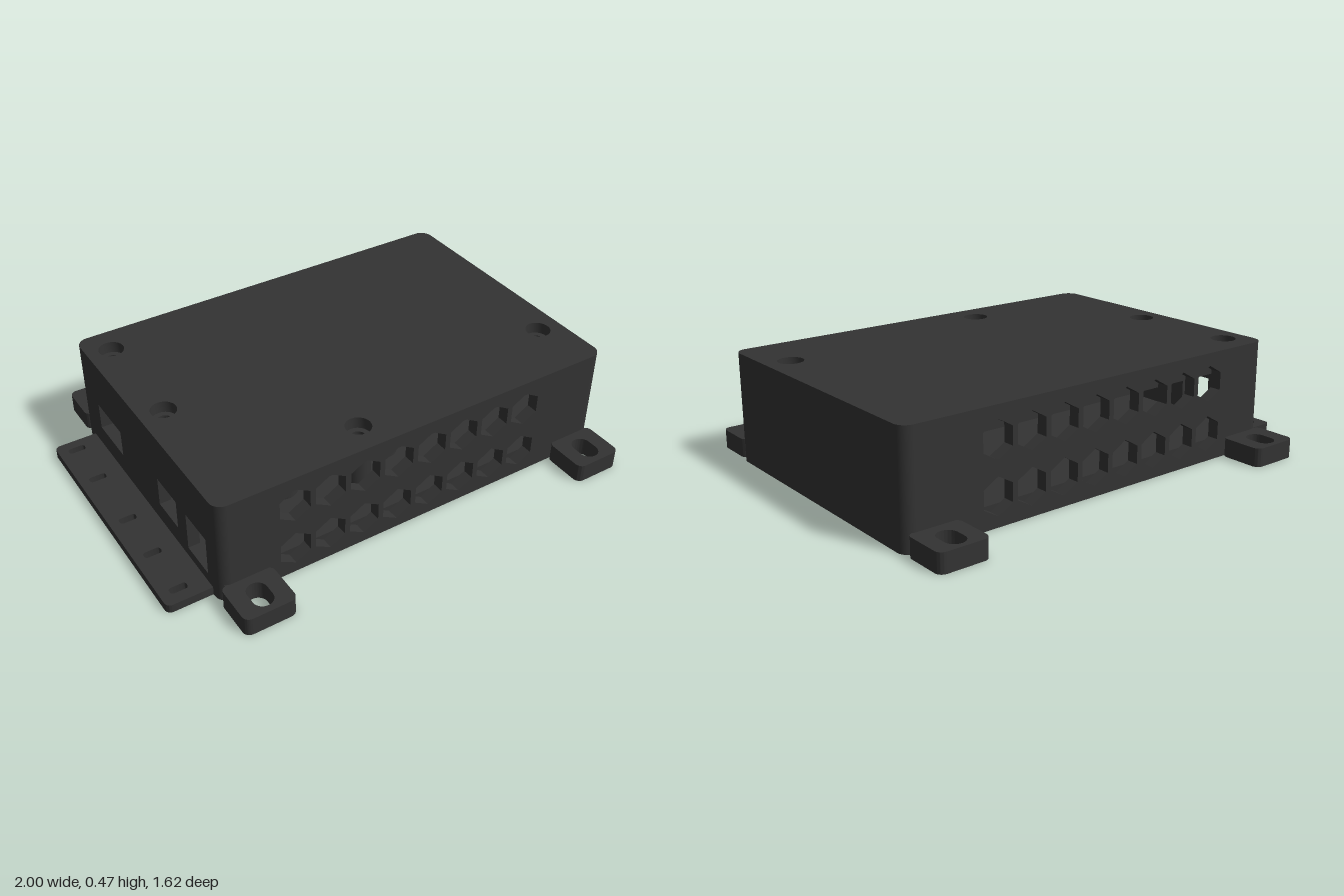
import * as THREE from 'three';
import { toCreasedNormals } from 'three/addons/utils/BufferGeometryUtils.js';

const X0 = -0.81, X1 = 1.0, Z0 = -0.62, Z1 = 0.615; // case outline
const H = 0.465, T = 0.05;                          // case height, wall and corner radius
const FLOOR = 0.07, CEILING = 0.355;

export function createModel() {
  const model = new THREE.Group();
  model.name = 'vented enclosure';
  const plastic = new THREE.MeshStandardMaterial({ color: 0x333333 });
  plastic.name = 'charcoal plastic';

  const add = (name, geometry, parent = model) => {
    const mesh = new THREE.Mesh(geometry, plastic);
    mesh.name = name;
    parent.add(mesh);
    return mesh;
  };
  const extrude = (shape, depth) => toCreasedNormals(
    new THREE.ExtrudeGeometry(shape, { depth, bevelEnabled: false, curveSegments: 12 }), 0.6);
  // Horizontal slab: the shape lies in x and z
  const slab = (shape, y0, y1) => extrude(shape, y1 - y0).rotateX(Math.PI / 2).translate(0, y1, 0);

  // Rectangle between two corners, with rounded corners if r > 0
  const rect = (x0, y0, x1, y1, r = 0, Type = THREE.Shape) => {
    const s = new Type();
    if (!r) {
      s.moveTo(x0, y0).lineTo(x1, y0).lineTo(x1, y1).lineTo(x0, y1).closePath();
      return s;
    }
    s.absarc(x1 - r, y0 + r, r, -Math.PI / 2, 0);
    s.absarc(x1 - r, y1 - r, r, 0, Math.PI / 2);
    s.absarc(x0 + r, y1 - r, r, Math.PI / 2, Math.PI);
    s.absarc(x0 + r, y0 + r, r, Math.PI, Math.PI * 1.5);
    s.closePath();
    return s;
  };
  const hole = (x0, y0, x1, y1, r) => rect(x0, y0, x1, y1, r, THREE.Path);
  const circle = (x, y, r, Type = THREE.Path) => {
    const s = new Type();
    s.absarc(x, y, r, 0, Math.PI * 2);
    return s;
  };
  const hexagon = (x, y, r) => new THREE.Path(Array.from({ length: 6 }, (_, i) => {
    const a = Math.PI / 6 + i * Math.PI / 3;
    return new THREE.Vector2(x + r * Math.cos(a), y + r * Math.sin(a));
  }));

  // Front and back walls with two rows of hexagonal vents
  const ventWall = rect(X0 + T, 0, X1 - T, H);
  for (const y of [0.335, 0.12])
    for (let i = 0; i < 8; i++) ventWall.holes.push(hexagon(-0.485 + i * 0.155, y, 0.076));
  add('frontWall', extrude(ventWall, T).translate(0, 0, Z1 - T));
  add('backWall', extrude(ventWall, T).translate(0, 0, Z0));

  // Plain side wall and the side wall with connector openings
  const plainWall = rect(Z0 + T, 0, Z1 - T, H);
  add('plainSideWall', extrude(plainWall, T).rotateY(-Math.PI / 2).translate(X1, 0, 0));
  const portWall = rect(Z0 + T, 0, Z1 - T, H);
  portWall.holes.push(
    hole(-0.44, 0.13, -0.22, 0.25, 0),
    hole(0.12, 0.12, 0.28, 0.25, 0),
    hole(0.36, 0.08, 0.52, 0.25, 0));
  add('portSideWall', extrude(portWall, T).rotateY(-Math.PI / 2).translate(X0 + T, 0, 0));

  // Rounded vertical corners with their end caps
  const corners = [[X1 - T, Z1 - T], [X1 - T, Z0 + T], [X0 + T, Z0 + T], [X0 + T, Z1 - T]];
  corners.forEach(([x, z], i) => add('roundedCorner',
    new THREE.CylinderGeometry(T, T, H, 10, 1, false, i * Math.PI / 2, Math.PI / 2)
      .translate(x, H / 2, z)));

  // Floor and thick lid with counterbored screw holes
  const inside = () => rect(X0 + T, Z0 + T, X1 - T, Z1 - T);
  add('floor', slab(inside(), 0, FLOOR));
  const screws = [[-0.705, -0.49], [-0.705, 0], [-0.125, 0.485], [0.89, 0.34]];
  const lidLayer = (r) => {
    const s = inside();
    for (const [x, z] of screws) s.holes.push(circle(x, z, r));
    return s;
  };
  add('lidUnderside', slab(lidLayer(0.03), CEILING, H - 0.05));
  add('lidTop', slab(lidLayer(0.053), H - 0.05, H));

  // Screw bosses hanging from the lid
  for (const [x, z] of screws) {
    const ring = circle(x, z, 0.053, THREE.Shape);
    ring.holes.push(circle(x, z, 0.03));
    add('screwBoss', slab(ring, 0.2, CEILING));
  }

  // Low standoffs on the floor
  for (const [x, z] of [[-0.33, 0.25], [-0.13, -0.3], [0.16, 0.25], [0.46, -0.3]])
    add('standoff', new THREE.CylinderGeometry(0.065, 0.065, 0.06, 20).translate(x, FLOOR + 0.03, z));

  // Four mounting tabs with slotted holes
  for (const [x0, x1] of [[-0.81, -0.59], [0.775, 0.99]]) {
    for (const [z0, z1, zc] of [[Z1 - 0.005, 0.805, 0.715], [-0.81, Z0 + 0.005, -0.725]]) {
      const xc = (x0 + x1) / 2;
      const tab = rect(x0, z0, x1, z1, 0.03);
      tab.holes.push(hole(xc - 0.042, zc - 0.062, xc + 0.042, zc + 0.062, 0.0415));
      add('mountingTab', slab(tab, 0, 0.08));
      // Neck joining the tab to the wall
      const edge = zc > 0 ? Z1 : Z0;
      add('tabNeck', slab(rect(x0 + 0.02, edge - 0.025, x1 - 0.02, edge + 0.02), 0.001, 0.079));
    }
  }

  // Cable tie flange with small slots
  const flange = rect(-1, -0.53, X0 + 0.03, 0.555, 0.025);
  for (const z of [-0.47, -0.25, 0.045, 0.27, 0.49])
    flange.holes.push(hole(-0.958, z - 0.016, -0.886, z + 0.016, 0.012));
  add('cableTieFlange', slab(flange, 0, 0.037));

  return model;
}
